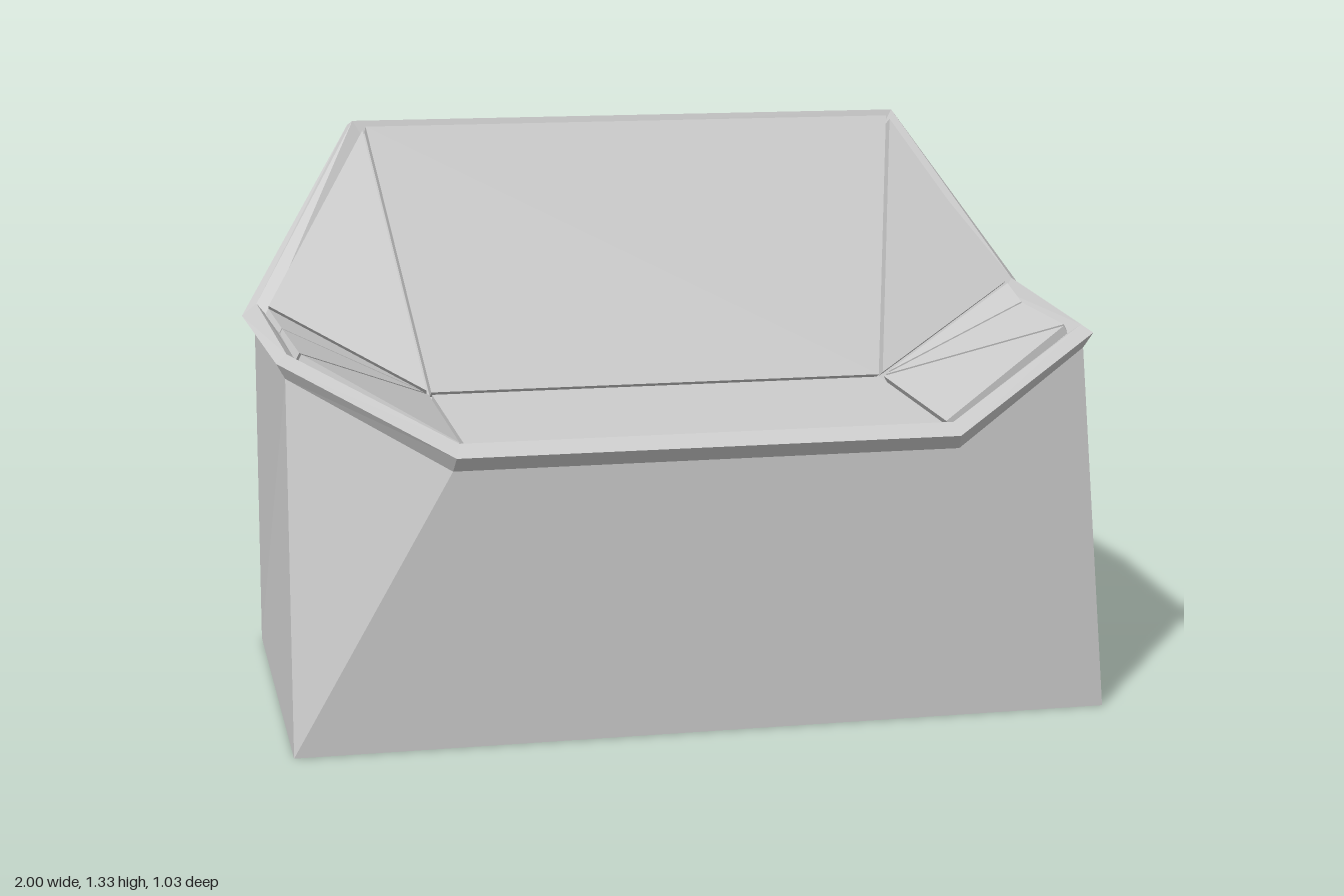
import * as THREE from 'three';

const material = new THREE.MeshStandardMaterial({ color: 0xcccccc, flatShading: true });
const v = (x, y, z) => new THREE.Vector3(x, y, z);

// Mirror four corners (front to back on the left) into a loop of eight
const ring = (pts) => [...pts, ...pts.map((p) => v(-p.x, p.y, p.z)).reverse()];

// Flat-shaded mesh from polygons, counter-clockwise seen from outside
function facesMesh(name, polygons) {
  const out = [];
  for (const p of polygons) {
    for (let i = 1; i < p.length - 1; i++) {
      const [a, b, c] = [p[0], p[i], p[i + 1]];
      if (a.distanceTo(b) < 1e-6 || b.distanceTo(c) < 1e-6 || a.distanceTo(c) < 1e-6) continue;
      out.push(a, b, c);
    }
  }
  const geometry = new THREE.BufferGeometry().setFromPoints(out);
  geometry.computeVertexNormals();
  const mesh = new THREE.Mesh(geometry, material);
  mesh.name = name;
  return mesh;
}

// Quads between two loops
const band = (low, high) =>
  low.map((p, i) => {
    const j = (i + 1) % low.length;
    return [p, low[j], high[j], high[i]];
  });

// Slab cushion, inset by a seam gap and thickened behind its face
function cushion(name, pts, gap = 0.005, depth = 0.034) {
  const n = pts.length;
  const normal = pts[1].clone().sub(pts[0]).cross(pts[2].clone().sub(pts[0])).normalize();
  const face = pts.map((p, i) => {
    const a = pts[(i + 1) % n].clone().sub(p).normalize();
    const b = pts[(i + n - 1) % n].clone().sub(p).normalize();
    const sine = a.clone().cross(b).length();
    return p.clone().addScaledVector(a.add(b), gap / sine);
  });
  const rear = face.map((p) => p.clone().addScaledVector(normal, -depth));
  return facesMesh(name, [face, ...band(rear, face), [...rear].reverse()]);
}

export function createModel() {
  const model = new THREE.Group();
  model.name = 'sofa';

  // Rim section loops: lower, outer, top and inner edge
  const lower = ring([v(0.59, 0.645, 0.485), v(0.945, 0.84, 0.325), v(0.97, 0.85, -0.28), v(0.69, 1.29, -0.51)]);
  const outer = ring([v(0.585, 0.68, 0.513), v(0.965, 0.877, 0.337), v(1, 0.883, -0.285), v(0.71, 1.32, -0.517)]);
  const top = ring([v(0.575, 0.708, 0.485), v(0.94, 0.895, 0.32), v(0.965, 0.915, -0.268), v(0.7, 1.333, -0.485)]);
  const inner = ring([v(0.567, 0.68, 0.455), v(0.915, 0.87, 0.298), v(0.94, 0.885, -0.245), v(0.68, 1.3, -0.475)]);

  // Body: rectangular foot rising to the eight-sided rim
  const foot = ring([v(0.96, 0, 0.485), v(0.96, 0, 0.485), v(0.96, 0, -0.51), v(0.96, 0, -0.51)]);
  const underside = [foot[0], foot[7], foot[4], foot[3]];
  model.add(facesMesh('body', [...band(foot, lower), underside]));

  // Rim running round the open top
  model.add(facesMesh('rim', [...band(lower, outer), ...band(outer, top), ...band(top, inner)]));

  // Liner seen in the seams between cushions
  const h = [v(0.57, 0.67, -0.115), v(-0.57, 0.67, -0.115)];
  const liner = [[inner[0], h[0], h[1], inner[7]], [h[0], inner[3], inner[4], h[1]]];
  for (let i = 0; i < 3; i++) {
    liner.push([h[0], inner[i], inner[i + 1]], [h[1], inner[6 - i], inner[7 - i]]);
  }
  model.add(facesMesh('liner', liner));

  // Cushion corners on one side
  const corners = (s) => ({
    hub: v(s * 0.567, 0.707, -0.09),
    front: v(s * 0.565, 0.7, 0.455),
    arm: v(s * 0.913, 0.893, 0.298),
    middle: v(s * 0.925, 0.89, -0.055),
    rear: v(s * 0.945, 0.912, -0.232),
    peak: v(s * 0.678, 1.327, -0.44),
  });
  const l = corners(1);
  const r = corners(-1);
  model.add(cushion('seat', [l.front, l.hub, r.hub, r.front]));
  model.add(cushion('backrest', [l.hub, l.peak, r.peak, r.hub]));

  // Fan of triangular cushions on each side
  for (const [side, c] of [['left', l], ['right', r]]) {
    const fan = [
      ['FrontCornerCushion', c.front, c.arm],
      ['ArmCushion', c.arm, c.middle],
      ['RearArmCushion', c.middle, c.rear],
      ['WingCushion', c.rear, c.peak],
    ];
    for (const [name, a, b] of fan) {
      model.add(cushion(side + name, side === 'left' ? [c.hub, a, b] : [c.hub, b, a]));
    }
  }
  return model;
}
